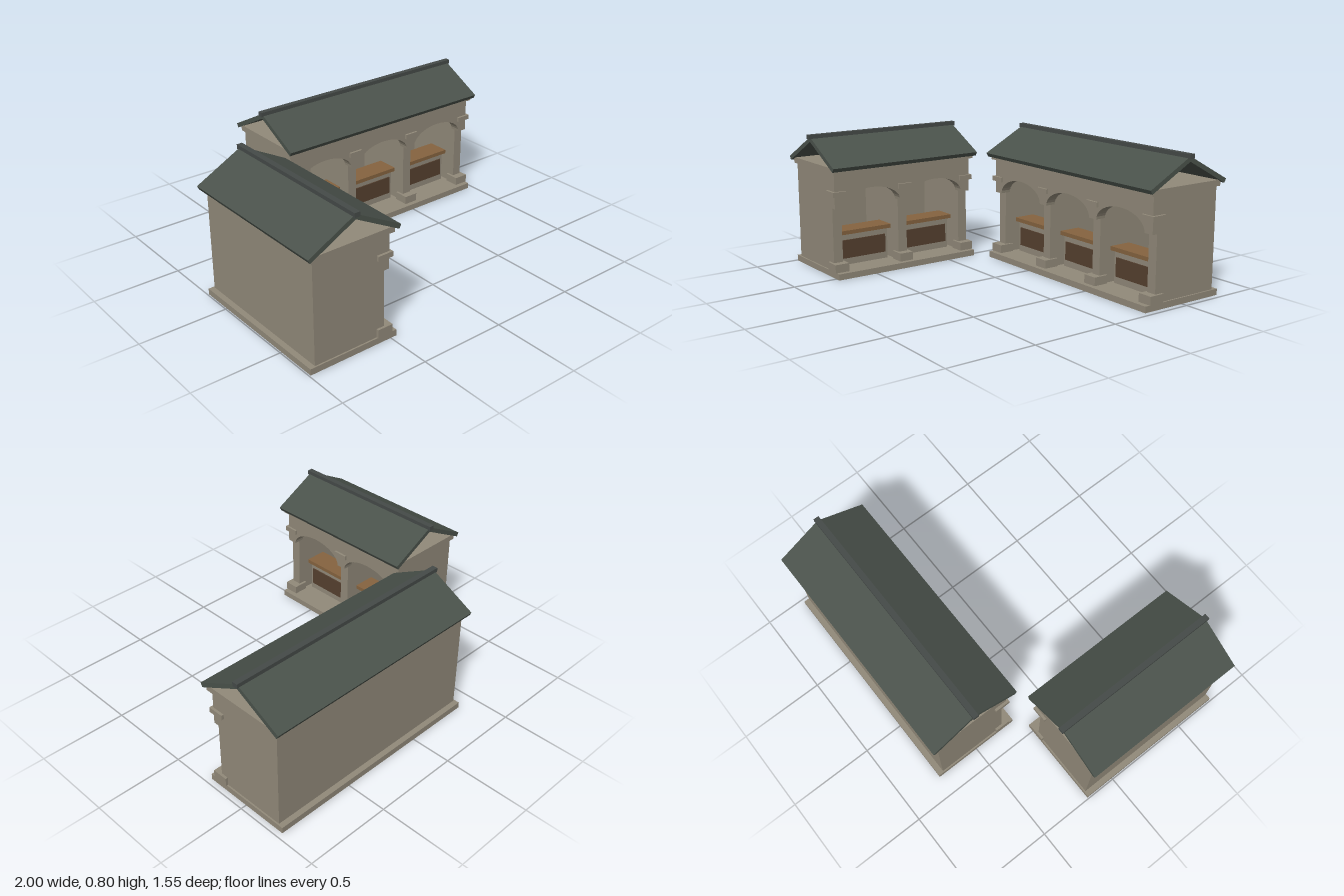
import * as THREE from 'three';

const mat = (name, color) => {
  const m = new THREE.MeshStandardMaterial({ color });
  m.name = name;
  return m;
};

export function createModel() {
  const stone = mat('stone', 0x918979);
  const roofTile = mat('roofTile', 0x4a524b);
  const ridgeTile = mat('ridgeTile', 0x454a48);
  const wood = mat('wood', 0x85633f);
  const darkWood = mat('darkWood', 0x55402f);

  const PITCH = 0.424; // distance between pier centres
  const PIER = 0.057;  // pier thickness

  // box given by its extents on each axis
  const box = (parent, name, m, x0, x1, y0, y1, z0, z1) => {
    const mesh = new THREE.Mesh(new THREE.BoxGeometry(x1 - x0, y1 - y0, z1 - z0), m);
    mesh.position.set((x0 + x1) / 2, (y0 + y1) / 2, (z0 + z1) / 2);
    mesh.name = name;
    parent.add(mesh);
    return mesh;
  };

  // arcade front: a wall strip with elliptical arches cut into its lower edge
  const arcade = (bays, w) => {
    const s = new THREE.Shape();
    const r = (PITCH - PIER) / 2;
    s.moveTo(-w, 0.6);
    s.lineTo(-w, 0.4);
    for (let i = 0; i < bays; i++) {
      const cx = (i - (bays - 1) / 2) * PITCH;
      s.lineTo(cx - r, 0.4);
      for (let k = 1; k <= 20; k++) {
        const a = Math.PI * (1 - k / 20);
        s.lineTo(cx + r * Math.cos(a), 0.4 + 0.1 * Math.sin(a));
      }
    }
    s.lineTo(w, 0.4);
    s.lineTo(w, 0.6);
    const mesh = new THREE.Mesh(new THREE.ExtrudeGeometry(s, { depth: 0.062, bevelEnabled: false }), stone);
    mesh.position.z = 0.16;
    mesh.name = 'arcade';
    return mesh;
  };

  // roof slope: slab cross-section extruded along x; side = 1 front, -1 back
  const roofSlope = (side, len) => {
    const s = new THREE.Shape();
    [[0, 0.782], [0.272, 0.638], [0.26, 0.616], [0, 0.754]].forEach(([u, y], i) =>
      i ? s.lineTo(u * side, y) : s.moveTo(u * side, y));
    const g = new THREE.ExtrudeGeometry(s, { depth: len, bevelEnabled: false });
    g.translate(0, 0, -len / 2).rotateY(-Math.PI / 2);
    const mesh = new THREE.Mesh(g, roofTile);
    mesh.name = side > 0 ? 'frontRoofSlope' : 'backRoofSlope';
    return mesh;
  };

  // one stall building, facing +z, ridge above z = 0
  const stall = (name, bays) => {
    const g = new THREE.Group();
    g.name = name;
    const w = (bays * PITCH + PIER) / 2;

    box(g, 'plinth', stone, -w - 0.009, w + 0.009, 0, 0.035, -0.264, 0.264);
    box(g, 'backWall', stone, -w, w, 0.035, 0.6, -0.232, -0.19);
    box(g, 'ceilingSlab', stone, -w - 0.014, w + 0.014, 0.6, 0.633, -0.245, 0.245);
    g.add(arcade(bays, w));

    // dividing walls with column base and capital blocks
    for (let i = 0; i <= bays; i++) {
      const x = (i - bays / 2) * PITCH;
      const h = PIER / 2;
      box(g, 'pierWall', stone, x - h, x + h, 0.035, 0.6, -0.227, 0.19);
      box(g, 'columnBase', stone, x - 0.043, x + 0.043, 0.035, 0.083, 0.145, 0.235);
      box(g, 'capital', stone, x - 0.043, x + 0.043, 0.47, 0.498, 0.145, 0.235);
    }

    // counters
    for (let i = 0; i < bays; i++) {
      const x = (i - (bays - 1) / 2) * PITCH;
      box(g, 'counterBody', stone, x - 0.157, x + 0.157, 0.035, 0.218, 0, 0.105);
      box(g, 'counterPanel', darkWood, x - 0.14, x + 0.14, 0.075, 0.183, 0.104, 0.112);
      box(g, 'counterTop', wood, x - 0.173, x + 0.173, 0.218, 0.241, -0.012, 0.122);
    }

    // open-ended pitched roof
    const len = 2 * w + 0.055;
    g.add(roofSlope(1, len), roofSlope(-1, len));
    box(g, 'ridgeCap', ridgeTile, -w - 0.04, w + 0.04, 0.77, 0.795, -0.016, 0.016);
    return g;
  };

  const model = new THREE.Group();
  model.name = 'marketStalls';

  const longStall = stall('longStall', 3);
  longStall.position.set(0.293, 0, -0.5);

  const shortStall = stall('shortStall', 2);
  shortStall.rotation.y = Math.PI / 2;
  shortStall.position.set(-0.728, 0, 0.281);

  model.add(longStall, shortStall);
  return model;
}
